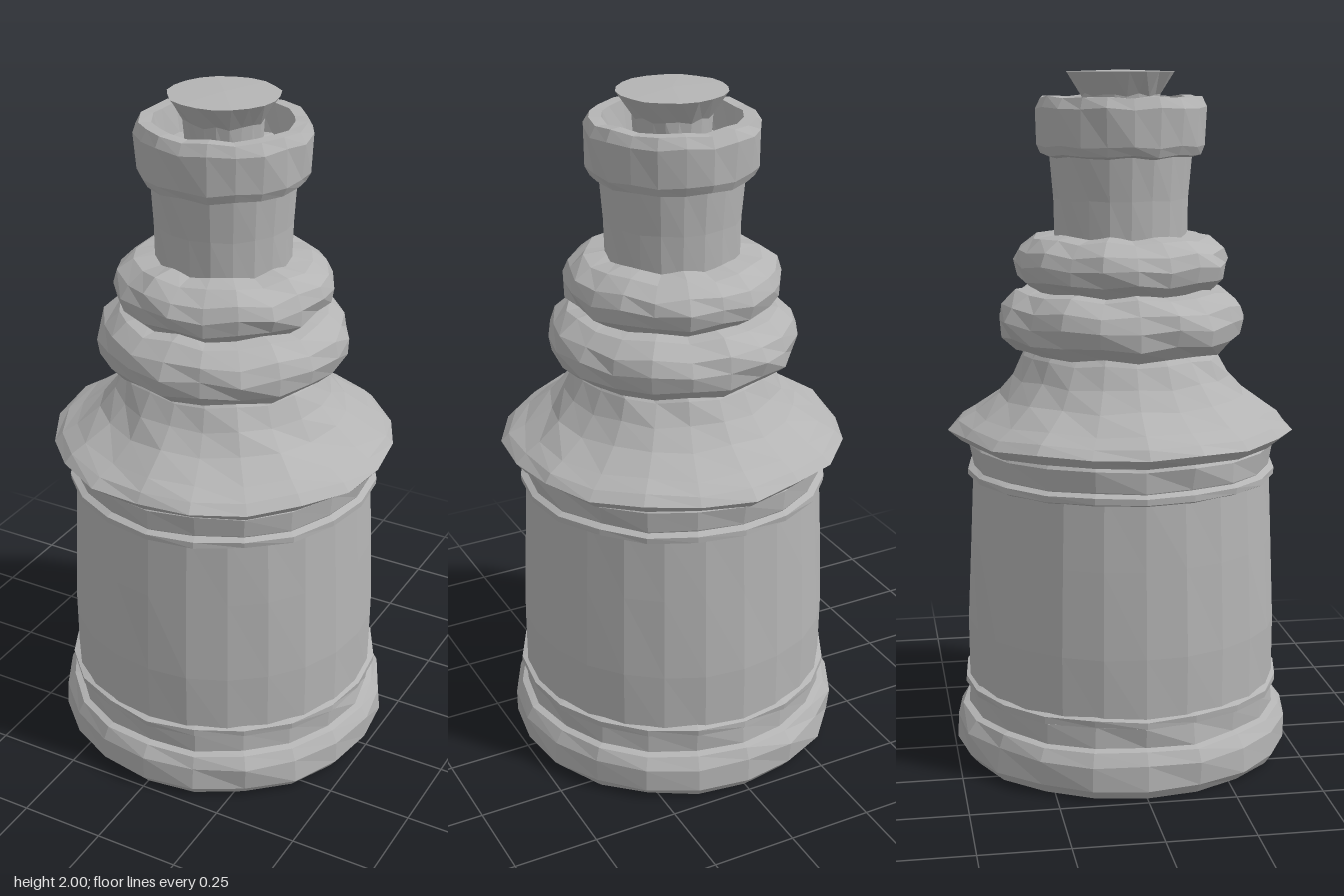
import * as THREE from 'three';

const SIDES = 20;

export function createModel() {
  const group = new THREE.Group();
  const stone = new THREE.MeshStandardMaterial({ color: 0xb4b4b4, flatShading: true });
  stone.name = 'grey stone';

  // Turned part with a hand-hewn wobble; the wobble is periodic so the seam stays shut
  function turned(name, profile, wobble = 0, sides = SIDES) {
    const geo = new THREE.LatheGeometry(profile.map(([r, y]) => new THREE.Vector2(r, y)), sides);
    const p = geo.attributes.position;
    for (let i = 0; i < p.count; i++) {
      const x = p.getX(i), y = p.getY(i), z = p.getZ(i);
      if (Math.hypot(x, z) < 1e-4) continue;
      const a = Math.atan2(x, z);
      const s = 1 + wobble * (0.6 * Math.sin(7 * a + 31 * y) + 0.4 * Math.sin(9 * a - 47 * y));
      const dy = y > 0.03 && y < 1.96 ? wobble * 0.25 * Math.sin(8 * a + 19 * y) : 0;
      p.setXYZ(i, x * s, y + dy, z * s);
    }
    geo.computeVertexNormals();
    const mesh = new THREE.Mesh(geo, stone);
    mesh.name = name;
    group.add(mesh);
  }

  // Foot with closed underside
  turned('foot', [[0, 0.01], [0.47, 0], [0.495, 0.03], [0.495, 0.1], [0.475, 0.135], [0.44, 0.145]], 0.012);
  turned('footBand', [[0.44, 0.13], [0.455, 0.14], [0.455, 0.2], [0.44, 0.21]], 0.012);
  turned('lowerBead', [[0.44, 0.195], [0.468, 0.205], [0.47, 0.225], [0.44, 0.235]], 0.01);

  // Smooth drum, slightly narrower at the top
  turned('drum', [[0.455, 0.2], [0.457, 0.4], [0.447, 0.65], [0.437, 0.86]], 0.004, 24);

  // Mouldings above the drum
  turned('upperBead', [[0.43, 0.83], [0.452, 0.84], [0.453, 0.858], [0.43, 0.87]], 0.008);
  turned('frieze', [[0.43, 0.855], [0.437, 0.87], [0.445, 0.93], [0.43, 0.95]], 0.012);

  // Flared shoulder with a thin overhanging rim
  turned('shoulder', [
    [0.42, 0.935], [0.465, 0.945], [0.5, 0.975], [0.475, 1.0], [0.43, 1.025],
    [0.36, 1.075], [0.315, 1.13], [0.285, 1.19], [0.25, 1.23],
  ], 0.018);

  // Two stacked rope-like rings
  const ring = (name, r, y, h) => turned(name, [
    [r - 0.13, y - h], [r - 0.055, y - h * 0.9], [r - 0.01, y - h * 0.5], [r, y],
    [r - 0.015, y + h * 0.45], [r - 0.06, y + h * 0.85], [r - 0.15, y + h],
  ], 0.025);
  ring('lowerRing', 0.36, 1.295, 0.095);
  ring('upperRing', 0.312, 1.457, 0.085);

  // Neck and hollow lip
  turned('neck', [[0.192, 1.5], [0.195, 1.64], [0.205, 1.77]], 0.008);
  turned('lip', [
    [0.19, 1.755], [0.228, 1.765], [0.24, 1.79], [0.246, 1.895], [0.23, 1.925],
    [0.195, 1.925], [0.18, 1.84], [0, 1.84],
  ], 0.015);

  // Stopper, widening to a flat top
  turned('stopper', [[0.105, 1.83], [0.112, 1.93], [0.155, 1.995], [0, 2]], 0.02);

  return group;
}
